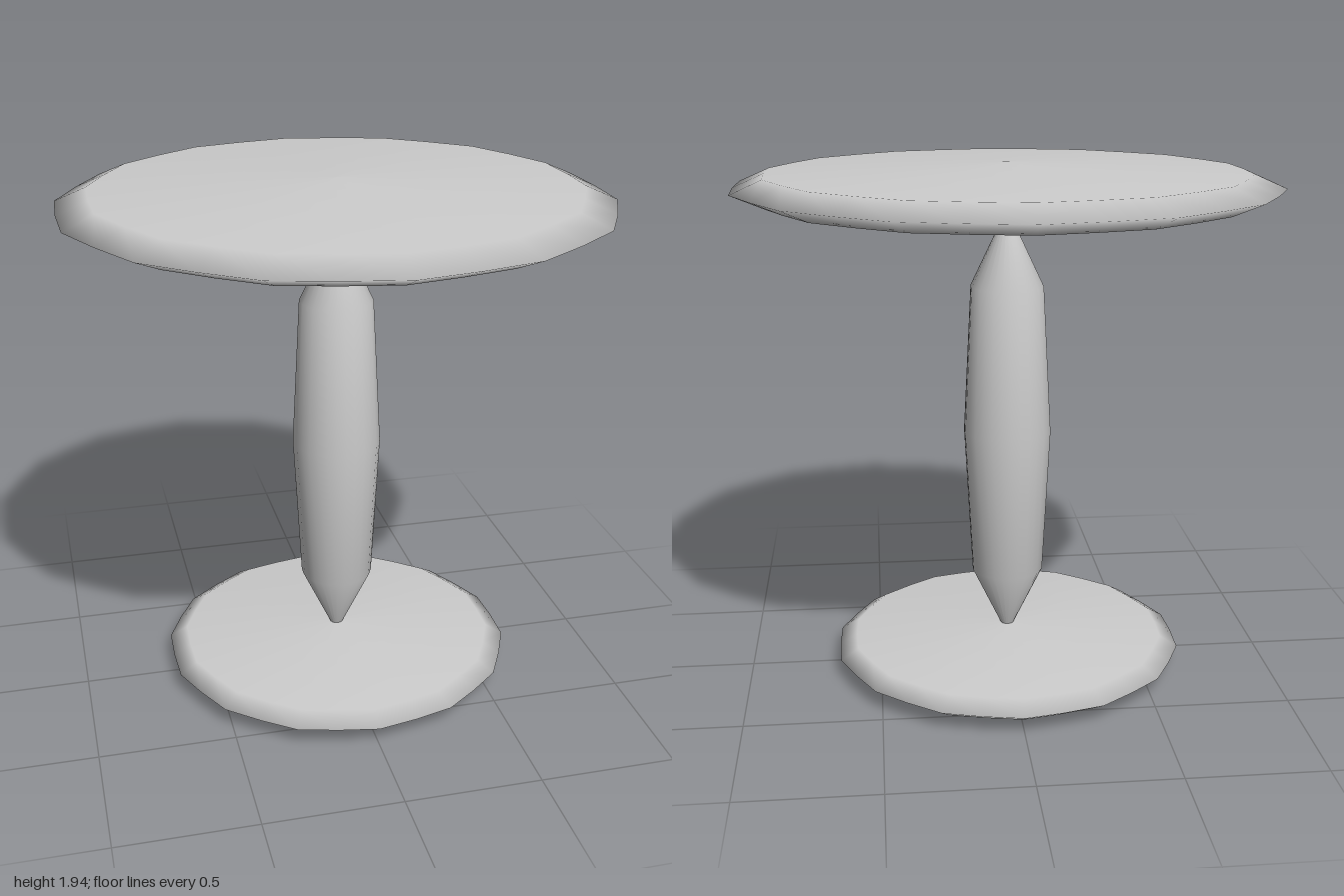
import * as THREE from 'three';

const SIDES = 28;
const material = new THREE.MeshStandardMaterial({ color: 0xcccccc });

// Smooth faceted spheroid: pole, shoulder ring, equator, shoulder ring, pole
function spheroid(name, radius, bottom, top, shoulderR, shoulderY) {
  const mid = (bottom + top) / 2;
  const half = (top - bottom) / 2;
  const profile = [[0, -1], [shoulderR, -shoulderY], [1, 0], [shoulderR, shoulderY], [0, 1]]
    .map(([r, y]) => new THREE.Vector2(r * radius, mid + y * half));
  const geometry = new THREE.LatheGeometry(profile, SIDES);

  // Pull every second column in a little, giving fourteen soft corners
  const pos = geometry.attributes.position;
  for (let i = 0; i < pos.count; i++) {
    if (Math.floor(i / profile.length) % 2 === 0) continue;
    pos.setX(i, pos.getX(i) * 0.983);
    pos.setZ(i, pos.getZ(i) * 0.983);
  }
  const mesh = new THREE.Mesh(geometry, material);
  mesh.name = name;
  return mesh;
}

export function createModel() {
  const group = new THREE.Group();
  group.name = 'pedestalTable';
  group.add(
    spheroid('base', 0.67, 0, 0.14, 0.9, 0.58),
    spheroid('stem', 0.166, 0.085, 1.775, 0.825, 0.66),
    spheroid('tableTop', 1, 1.775, 1.94, 0.885, 0.6),
  );
  return group;
}
